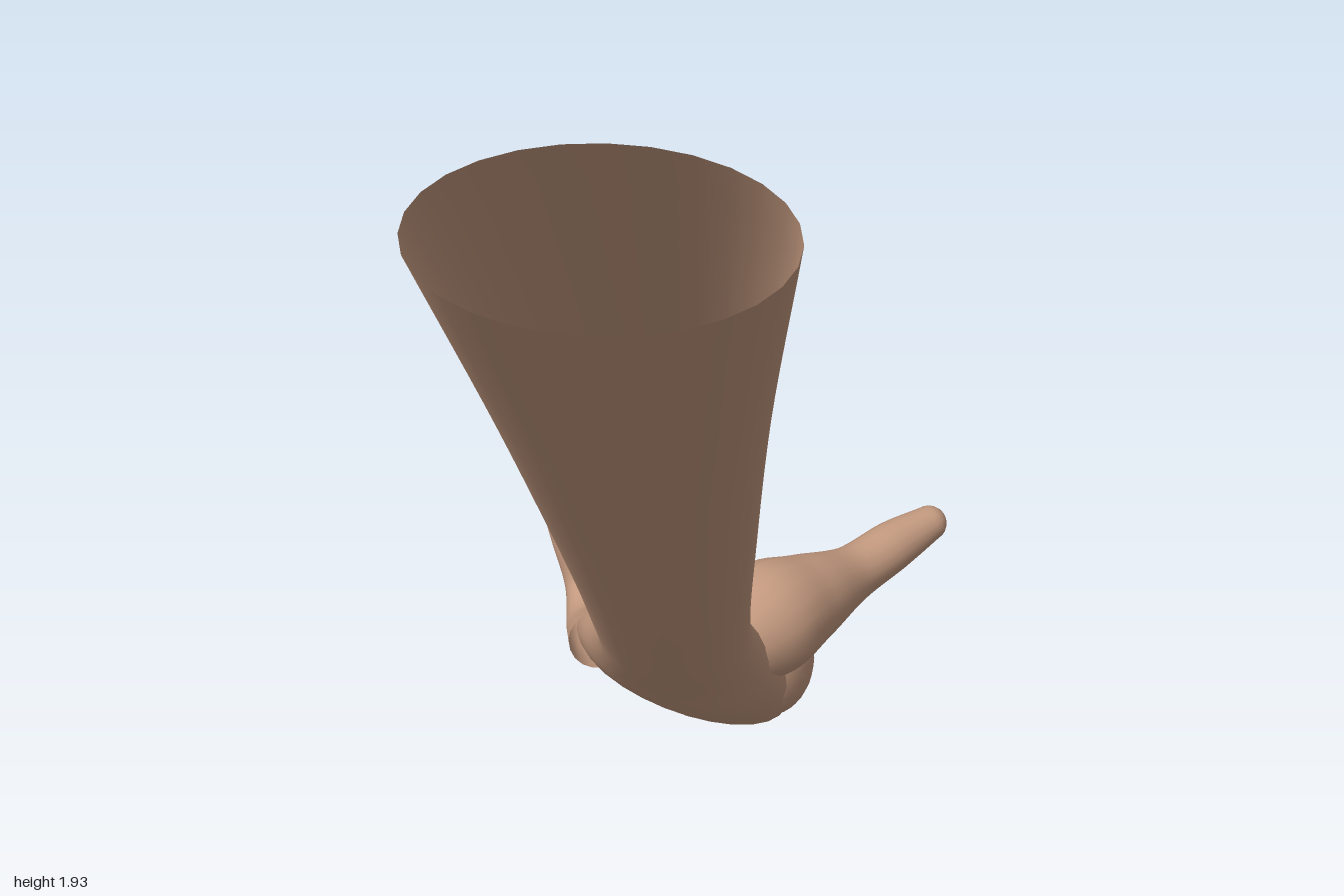
import * as THREE from 'three';

const skin = new THREE.MeshStandardMaterial({ color: 0xc49a80, side: THREE.DoubleSide });

// Smooth loft through sections [x, y, z, halfWidth, halfThickness, roll], with a rounded far end.
function loft(name, sections, sides, stepsPerSpan) {
  const curve = (pick) => new THREE.CatmullRomCurve3(sections.map(pick), false, 'catmullrom', 0.5);
  const path = curve((s) => new THREE.Vector3(s[0], s[1], s[2]));
  const size = curve((s) => new THREE.Vector3(s[3], s[4], s[5] || 0));
  const positions = [], index = [];
  let rings = 0;

  const addRing = (t, cap) => {
    const c = path.getPoint(t), d = size.getPoint(t), T = path.getTangent(t);
    const X = new THREE.Vector3(1, 0, 0);
    const S0 = X.addScaledVector(T, -T.x).normalize();
    const S = S0.applyAxisAngle(T, d.z);
    const N = new THREE.Vector3().crossVectors(T, S);
    c.addScaledVector(T, d.y * Math.sin(cap));
    const k = Math.cos(cap);
    for (let j = 0; j < sides; j++) {
      const a = (j / sides) * Math.PI * 2;
      const p = c.clone()
        .addScaledVector(S, d.x * k * Math.cos(a))
        .addScaledVector(N, d.y * k * Math.sin(a));
      positions.push(p.x, p.y, p.z);
    }
    rings++;
  };

  const steps = (sections.length - 1) * stepsPerSpan;
  for (let i = 0; i <= steps; i++) addRing(i / steps, 0);
  for (let i = 1; i <= 6; i++) addRing(1, (i / 6) * Math.PI * 0.495);

  for (let i = 0; i < rings - 1; i++) {
    for (let j = 0; j < sides; j++) {
      const k = (j + 1) % sides;
      const a = i * sides + j, b = i * sides + k;
      index.push(a, b, b + sides, a, b + sides, a + sides);
    }
  }
  const g = new THREE.BufferGeometry();
  g.setAttribute('position', new THREE.Float32BufferAttribute(positions, 3));
  g.setIndex(index);
  g.computeVertexNormals();
  const mesh = new THREE.Mesh(g, skin);
  mesh.name = name;
  return mesh;
}

// Round finger from points [x, y, z, radius]
const finger = (name, pts) => loft(name, pts.map(([x, y, z, r]) => [x, y, z, r, r, 0]), 18, 6);

export function createModel() {
  const model = new THREE.Group();
  model.name = 'arm';

  // Forearm, open at the elbow end, running into the wrist and palm
  model.add(loft('forearmAndPalm', [
    [-0.07, 1.857, 0.915, 0.233, 0.118, 0],
    [-0.075, 1.385, 0.46, 0.181, 0.104, 0],
    [-0.077, 0.905, 0.0, 0.14, 0.091, 0],
    [-0.08, 0.69, -0.21, 0.126, 0.084, 0],
    [-0.08, 0.575, -0.325, 0.124, 0.08, 0.02],
    [-0.08, 0.495, -0.42, 0.143, 0.082, 0.12],
    [-0.08, 0.415, -0.52, 0.178, 0.09, 0.26],
    [-0.09, 0.345, -0.61, 0.192, 0.082, 0.36],
    [-0.1, 0.312, -0.665, 0.185, 0.06, 0.38],
  ], 28, 6));

  // Fingers: the index points outward, the others curl upward
  model.add(finger('indexFinger', [
    [0.04, 0.325, -0.58, 0.055], [0.045, 0.26, -0.67, 0.053],
    [0.04, 0.175, -0.78, 0.036], [0.03, 0.095, -0.88, 0.032], [0.02, 0.032, -0.968, 0.024],
  ]));
  model.add(finger('middleFinger', [
    [-0.055, 0.32, -0.62, 0.048], [-0.065, 0.28, -0.75, 0.037], [-0.073, 0.31, -0.86, 0.034],
    [-0.09, 0.41, -0.91, 0.029], [-0.11, 0.525, -0.95, 0.024],
  ]));
  model.add(finger('ringFinger', [
    [-0.15, 0.34, -0.6, 0.048], [-0.163, 0.318, -0.72, 0.037], [-0.178, 0.35, -0.808, 0.033],
    [-0.212, 0.45, -0.84, 0.029], [-0.248, 0.57, -0.863, 0.023],
  ]));
  model.add(finger('littleFinger', [
    [-0.23, 0.415, -0.56, 0.048], [-0.255, 0.378, -0.67, 0.038], [-0.272, 0.41, -0.752, 0.031],
    [-0.303, 0.5, -0.772, 0.027], [-0.333, 0.592, -0.787, 0.022],
  ]));

  // Thumb with its fleshy base
  model.add(finger('thumb', [
    [-0.03, 0.47, -0.44, 0.07], [0.05, 0.485, -0.525, 0.098], [0.12, 0.485, -0.605, 0.076],
    [0.19, 0.483, -0.69, 0.049], [0.26, 0.5, -0.762, 0.043], [0.32, 0.517, -0.812, 0.031],
  ]));

  // Web between thumb and index finger
  const web = new THREE.Mesh(new THREE.SphereGeometry(1, 24, 16), skin);
  web.name = 'thumbWeb';
  web.scale.set(0.075, 0.115, 0.085);
  web.position.set(0.06, 0.385, -0.575);
  web.rotation.x = 0.3;
  model.add(web);

  return model;
}
